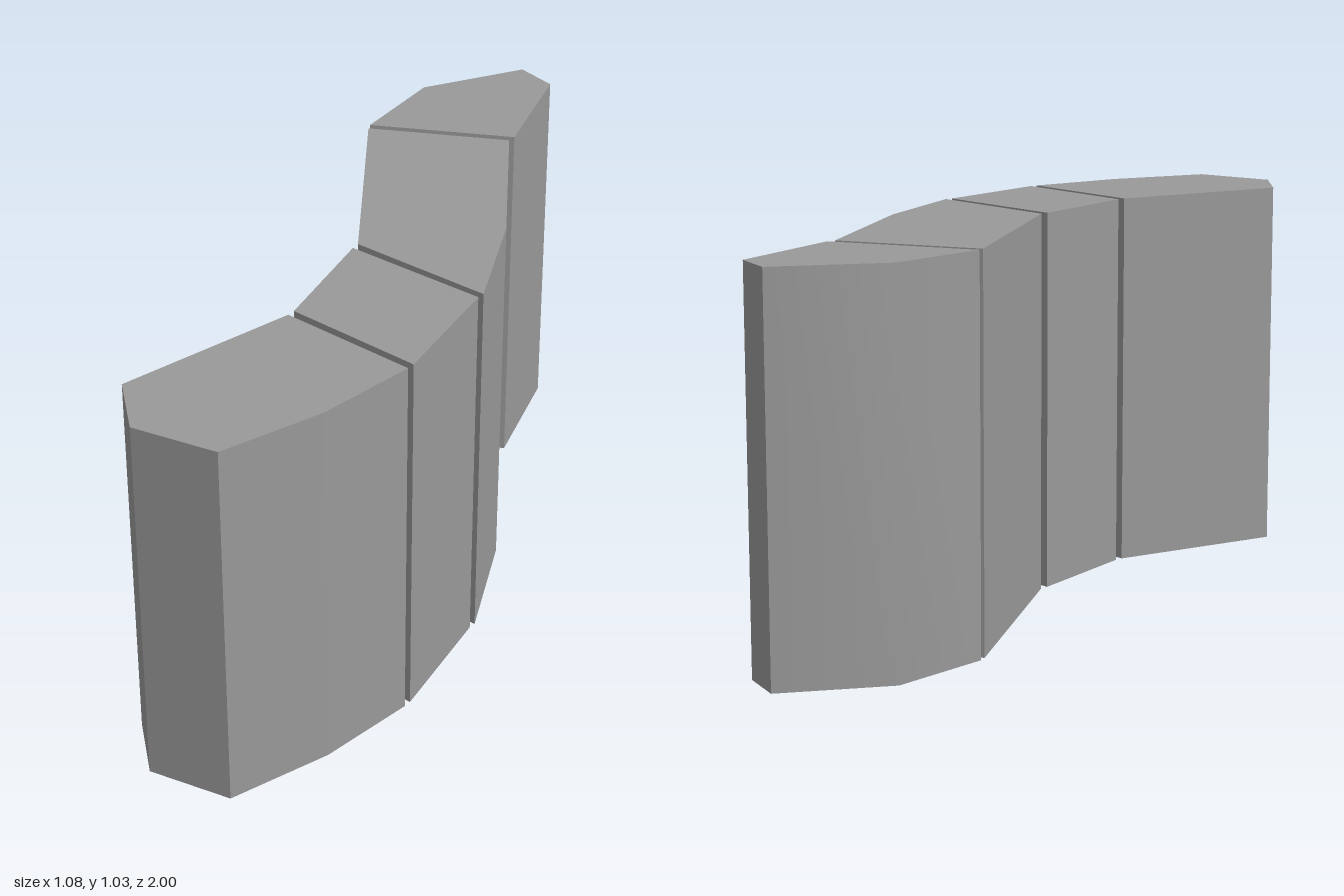
import * as THREE from 'three';
import { toCreasedNormals } from 'three/addons/utils/BufferGeometryUtils.js';

const HEIGHT = 1.027;
const CREASE = THREE.MathUtils.degToRad(40);

// Plan outlines of the wall blocks as [x, z] corners, from back to front
const BLOCKS = {
  backEndBlock: [[-0.435, -1], [-0.313, -0.99], [-0.148, -0.68], [-0.47, -0.437], [-0.541, -0.71]],
  longBlock: [[-0.144, -0.656], [0.202, -0.3], [0.403, -0.02], [0.006, 0.04], [-0.458, -0.42]],
  shortBlock: [[0.405, 0], [0.527, 0.334], [0.148, 0.381], [0.012, 0.063]],
  frontEndBlock: [[0.53, 0.355], [0.541, 0.63], [0.502, 0.917], [0.287, 1], [0.129, 0.9], [0.152, 0.403]],
};

export function createModel() {
  const group = new THREE.Group();
  group.name = 'curvedWall';
  const material = new THREE.MeshStandardMaterial({ color: 0x999999 });

  // Each block is its outline raised straight up from the ground
  for (const [name, outline] of Object.entries(BLOCKS)) {
    const shape = new THREE.Shape(outline.map(([x, z]) => new THREE.Vector2(x, -z)));
    let geometry = new THREE.ExtrudeGeometry(shape, { depth: HEIGHT, bevelEnabled: false });
    geometry.rotateX(-Math.PI / 2);
    // The outer side of the back end is shaded as one soft bend
    if (name === 'backEndBlock') geometry = toCreasedNormals(geometry, CREASE);
    const block = new THREE.Mesh(geometry, material);
    block.name = name;
    group.add(block);
  }
  return group;
}
